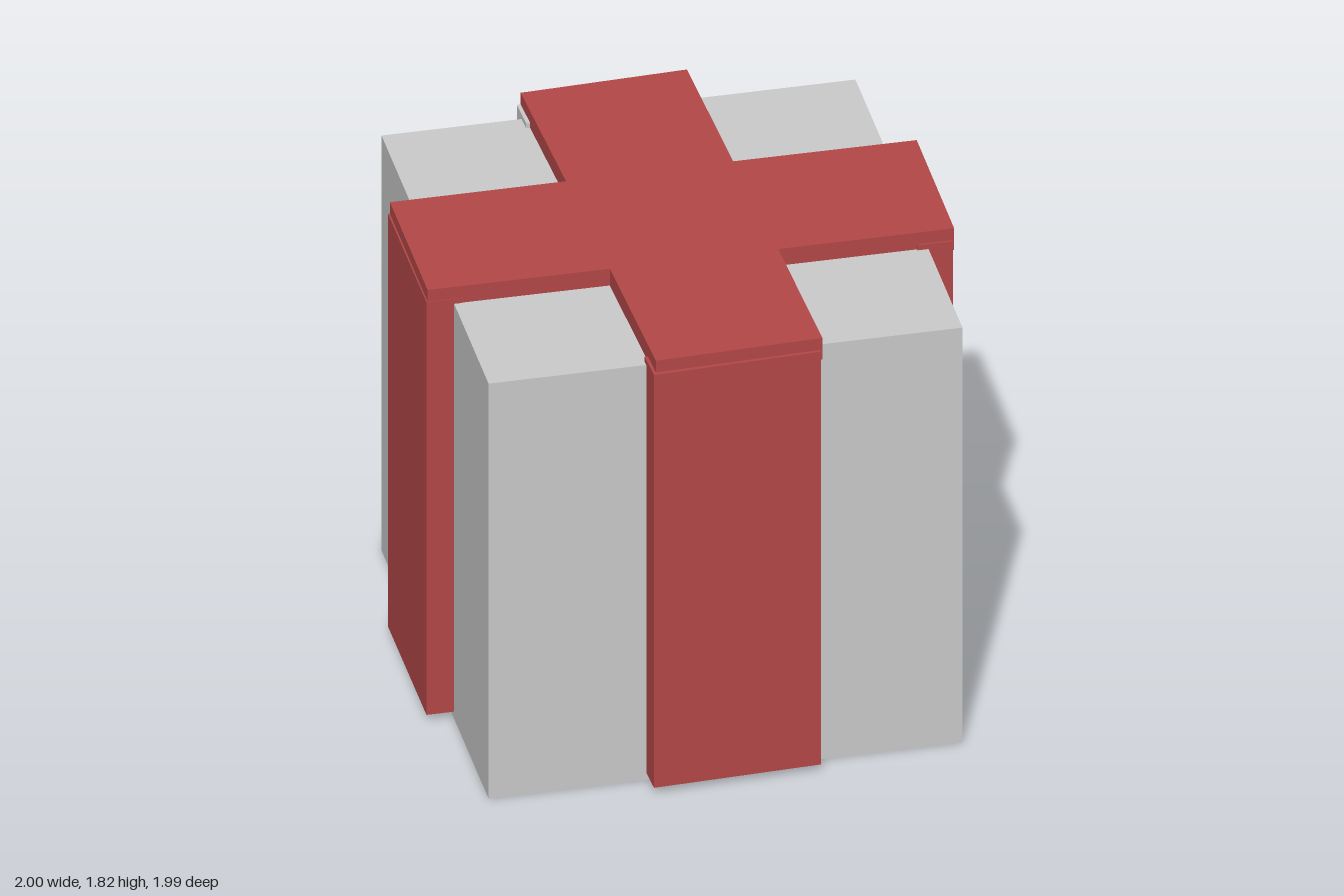
import * as THREE from 'three';

export function createModel() {
  const model = new THREE.Group();
  const grey = new THREE.MeshStandardMaterial({ color: 0xcccccc });
  const red = new THREE.MeshStandardMaterial({ color: 0xb54848 });

  // Upright block: centre in plan, width, depth, bottom, top, turn about y
  function block(name, material, x, z, w, d, y0, y1, turn) {
    const mesh = new THREE.Mesh(new THREE.BoxGeometry(w, y1 - y0, d), material);
    mesh.name = name;
    mesh.position.set(x, (y0 + y1) / 2, z);
    mesh.rotation.y = turn;
    model.add(mesh);
  }

  // Slightly turned square box
  block('box', grey, 0.002, -0.014, 1.741, 1.741, 0, 1.745, 0.112);

  // Ribbon bands down the four sides, sunk a little into the box
  const w = 0.62, d = 0.13, y0 = 0.03, y1 = 1.766;
  block('frontRibbon', red, 0.123, 0.878, w, d, y0, y1, 0.152);
  block('backRibbon', grey, -0.143, -0.886, w, d, y0, y1, 0.152);
  block('rightRibbon', red, -0.9, 0.088, d, w, y0, y1, 0.114);
  block('leftRibbon', red, 0.893, -0.105, d, w, y0, y1, 0.111);

  // Ribbon cross on top, its two strips not quite square; points are [x, z]
  const outline = [
    [-0.445, -0.905], [0.165, -0.998], [0.26, -0.355], [0.93, -0.427],
    [0.997, 0.188], [0.355, 0.26], [0.445, 0.882], [-0.165, 0.972],
    [-0.26, 0.328], [-0.925, 0.4], [-0.993, -0.212], [-0.35, -0.285],
  ];
  const shape = new THREE.Shape(outline.map(([x, z]) => new THREE.Vector2(x, -z)));
  const geometry = new THREE.ExtrudeGeometry(shape, { depth: 0.09, bevelEnabled: false });
  geometry.rotateX(-Math.PI / 2);
  const cross = new THREE.Mesh(geometry, red);
  cross.name = 'topRibbonCross';
  cross.position.y = 1.725;
  model.add(cross);

  return model;
}
